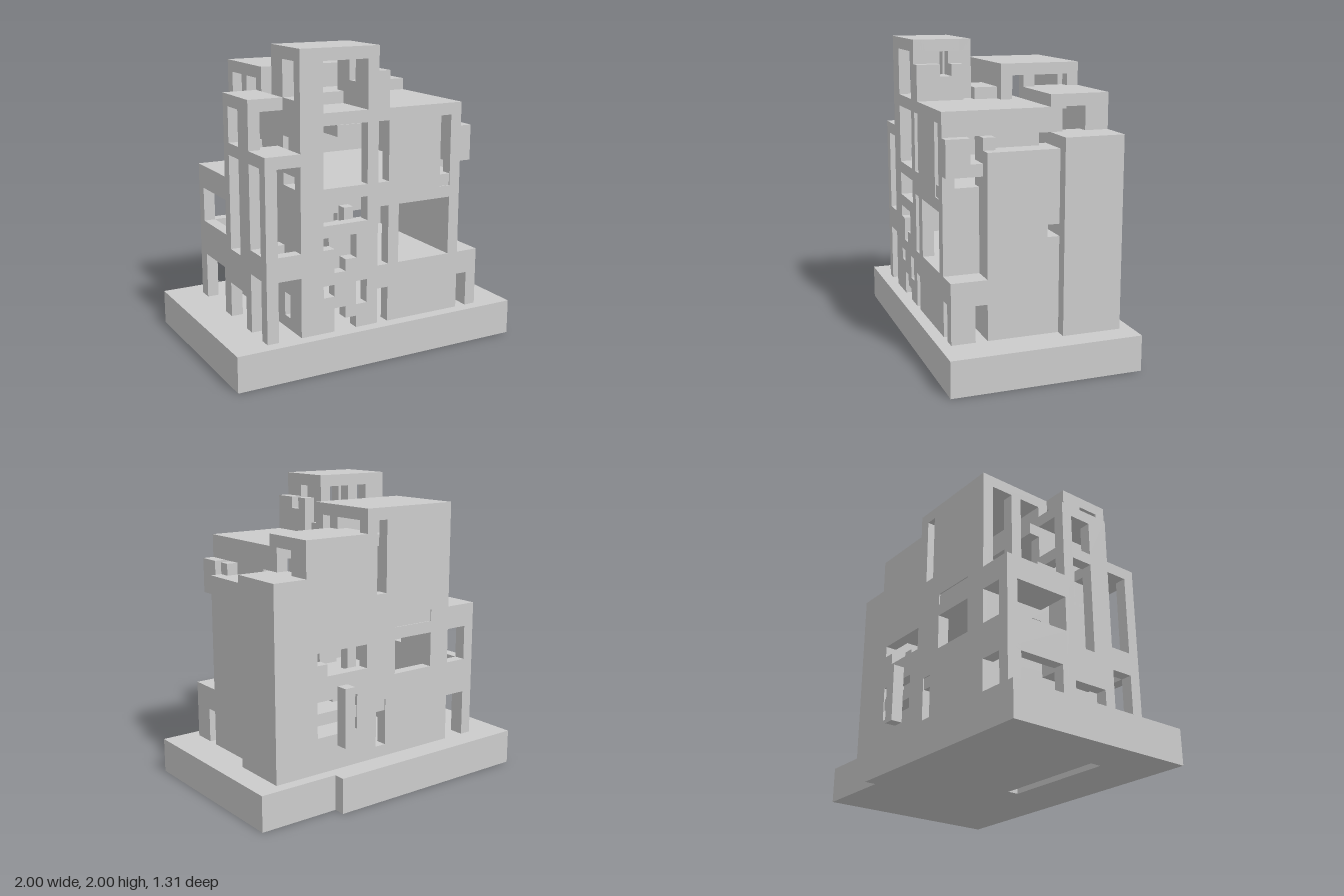
import * as THREE from 'three';

const material = new THREE.MeshStandardMaterial({ color: 0xcccccc, flatShading: true });
const UNIT = 1 / 13; // all sizes below are in blocks

export function createModel() {
  const model = new THREE.Group();
  model.name = 'blockBuilding';

  const add = (name, geometry) => {
    const mesh = new THREE.Mesh(geometry, material);
    mesh.name = name;
    model.add(mesh);
  };
  const box = (name, x0, x1, y0, y1, z0, z1) => {
    const g = new THREE.BoxGeometry(x1 - x0, y1 - y0, z1 - z0);
    add(name, g.translate((x0 + x1) / 2, (y0 + y1) / 2, (z0 + z1) / 2));
  };
  // Four numbers give a rectangle a0, a1, b0, b1; more give a list of corners
  const corners = (n) => {
    const p = n.length === 4 ? [n[0], n[2], n[1], n[2], n[1], n[3], n[0], n[3]] : n;
    return Array.from({ length: p.length / 2 }, (_, i) => new THREE.Vector2(p[2 * i], p[2 * i + 1]));
  };
  const slab = (outline, holes, depth) => {
    const shape = new THREE.Shape(corners(outline));
    shape.holes = holes.map((h) => new THREE.Path(corners(h)));
    return new THREE.ExtrudeGeometry(shape, { depth, bevelEnabled: false });
  };
  // Wall in the x-y plane with its front on z1
  const wallX = (name, z1, outline, holes = [], t = 1) =>
    add(name, slab(outline, holes, t).translate(0, 0, z1 - t));
  // Wall in the z-y plane with its outside on x1
  const wallZ = (name, x1, outline, holes = [], t = 1) =>
    add(name, slab(outline, holes, t).rotateY(-Math.PI / 2).translate(x1, 0, 0));

  // Base with a cut rear corner and a groove underneath
  const plan = [-13, -8.5, 6, -8.5, 6, -7.5, 13, -7.5, 13, 8.5, -13, 8.5];
  const lay = (g, y1) => g.rotateX(Math.PI / 2).translate(0, y1, 0);
  add('base', lay(slab(plan, [], 2), 3));
  add('baseUnderside', lay(slab(plan, [[-9, 1, 2.5, 3.5]], 1), 1));

  // Outer walls, sunk into the base
  wallX('frontWall', 7.5, [-7, 2, 8, 2, 8, 21, 0, 21, 0, 26, -7, 26], [
    [-5, -1, 21, 25], [-5, -1, 15, 20], [-5, -1, 12, 14],
    [-5, 10, -4, 10, -4, 8, -3, 8, -3, 9, -2, 9, -2, 11, -5, 11],
    [-5, -4, 6, 7], [-2, -1, 5, 7],
    [-4, 3, -2, 3, -2, 4, -3, 4, -3, 5, -4, 5],
    [0, 1, 3, 6], [0, 1, 8, 13], [0, 1, 15, 20],
    [2, 7, 8, 13], [6, 7, 14, 20],
  ]);
  wallX('rearWall', -5.5, [-7, 2, 11, 2, 11, 19, 8, 19, 8, 22, 2, 22, 2, 24, -7, 24], [
    [0, 1, 17, 23], [0, 1, 4, 8], [-5, -1, 14, 15], [-5, -1, 10, 13],
    [2, 11, 6, 11, 6, 12, 7, 12, 7, 13, 2, 13], [3, 7, 6, 9],
  ]);
  wallZ('rightSideWall', -6, [-6.5, 2, 7.5, 2, 7.5, 26, 2.5, 26, 2.5, 21, 0.5, 21, 0.5, 24, -6.5, 24], [
    [-5.5, -3.5, 16, 23], [-2.5, -0.5, 16, 23], [4.5, 6.5, 22, 25],
    [4.5, 5.5, 17, 19], [4.5, 6.5, 14, 16], [4.5, 5.5, 4, 6], [-1.5, -0.5, 11, 12],
  ]);
  wallZ('leftSideWall', 8, [-6.5, 2, 7.5, 2, 7.5, 21, -1.5, 21, -1.5, 22, -6.5, 22], [
    [-4.5, -2.5, 19, 21], [-1.5, -0.5, 18, 19], [-1.5, -0.5, 11, 12],
    [4.5, 5.5, 17, 19], [4.5, 6.5, 14, 16], [4.5, 5.5, 3, 6],
  ]);

  // Floors and roofs
  box('lowerFloor', -7, 8, 7, 8, -6.4, 7.4);
  box('upperFloor', -7, 8, 14, 15, -6.4, 7.4);
  box('hallRoof', -7, 8, 20, 21, -1.5, 7.5);
  box('linkRoof', -3, 1, 21, 22, 0.5, 2.5);
  box('rearRoof', -7, 2, 23, 24, -6.5, 0.5);
  box('rearSideRoof', 2, 8, 21, 22, -6.5, -1.5);
  box('towerRoof', -7, 0, 25, 26, 2.5, 7.5);

  // Walls rising above the hall roof
  wallX('towerRearWall', 3.5, [-7, 0, 20, 26], [[-5, -4, 22, 25], [-3, -1, 22, 25]]);
  wallZ('towerSideWall', 0, [2.5, 7.5, 20, 26], [[4.5, 5.5, 23, 25]]);
  wallX('rearBlockFront', 0.5, [-7, 2, 20, 24]);
  wallZ('rearBlockSide', 2, [-6.5, 0.5, 20, 24], [[-1.5, -0.5, 21, 23], [-5.5, -2.5, 22, 23]]);
  wallX('rearSideFront', -1.5, [2, 8, 20, 22]);

  // Low blocks on the left flank
  box('rearAnnex', 8, 11, 2, 19, -6.5, -1.5);
  wallZ('sideAnnex', 10, [-2.5, 4.5, 2, 18], [[-1.5, -0.5, 11, 12]], 2);
  box('porchTop', 8, 10, 6, 8, 4.5, 7.5);
  box('porchLeg', 9, 10, 3, 6, 5.5, 7.5);

  // The same stepped bracket on tower and hall
  for (const [x, y, dip] of [[0, 21, 2], [8, 16, 1]]) {
    box('bracketFront', x, x + 1, y, y + 3, 5.5, 7.5);
    box('bracketMiddle', x, x + 1, y, y + dip, 4.5, 5.5);
    box('bracketRear', x, x + 1, y, y + 3, 3.5, 4.5);
  }

  // Front balcony frame on the right flank
  wallX('balconyFront', 7.5, [-10, 2, -6, 2, -6, 18, -10, 18], [[-9, -7, 3, 8], [-9, -7, 10, 17]]);
  wallZ('balconySide', -9, [3.5, 7.5, 2, 18], [[4.5, 6.5, 3, 8], [4.5, 6.5, 10, 17]]);
  box('balconyRoof', -10, -7, 17, 18, 4.5, 7.5);

  // Tall middle bay
  wallZ('bayOuterWall', -9, [-0.5, 4.5, 6, 22], [[0.5, 2.5, 18, 21], [0.5, 2.5, 9, 17]]);
  for (const z of [0.5, 4.5]) {
    wallX('bayFrame', z, [-10, -6, 7, 22], [[-9, -7, 18, 21], [-9, -7, 10, 17]]);
  }
  box('bayRoof', -10, -7, 21, 22, -0.5, 4.5);
  box('bayFloor', -10, -7, 7, 9, -0.5, 4.5);
  box('bayPost', -9, -8, 9, 16, -0.5, 0.5);

  // Rear terrace on legs
  wallX('terraceRear', -5.5, [-10, -6, 7, 15], [[-9, -7, 10, 13]]);
  wallZ('terraceSide', -9, [-6.5, 0.5, 7, 15], [[-5.5, -0.5, 10, 13]]);
  box('terraceRoof', -10, -7, 13, 15, -6.5, -0.5);
  box('terraceStep', -9, -7, 15, 16, -2.5, -0.5);
  for (const z of [-6.5, -1]) box('terraceLeg', -10, -9, 2, 8, z, z + 1.3);

  // Posts and beams
  box('rearPost', 4, 5, 5, 10, -7.5, -6.5);
  box('innerPost', 3, 4, 8, 10, -4.5, -3.5);
  box('innerPost', 6, 7, 8, 13, -4.5, -3.5);
  box('innerMullion', -4, -3, 8, 14, 2.5, 3.5);
  box('innerLedge', -4, -2, 8, 11, 5.5, 6.5);
  box('innerBeam', -1, 2, 18, 19, -0.5, 2.5);

  model.scale.setScalar(UNIT);
  return model;
}
